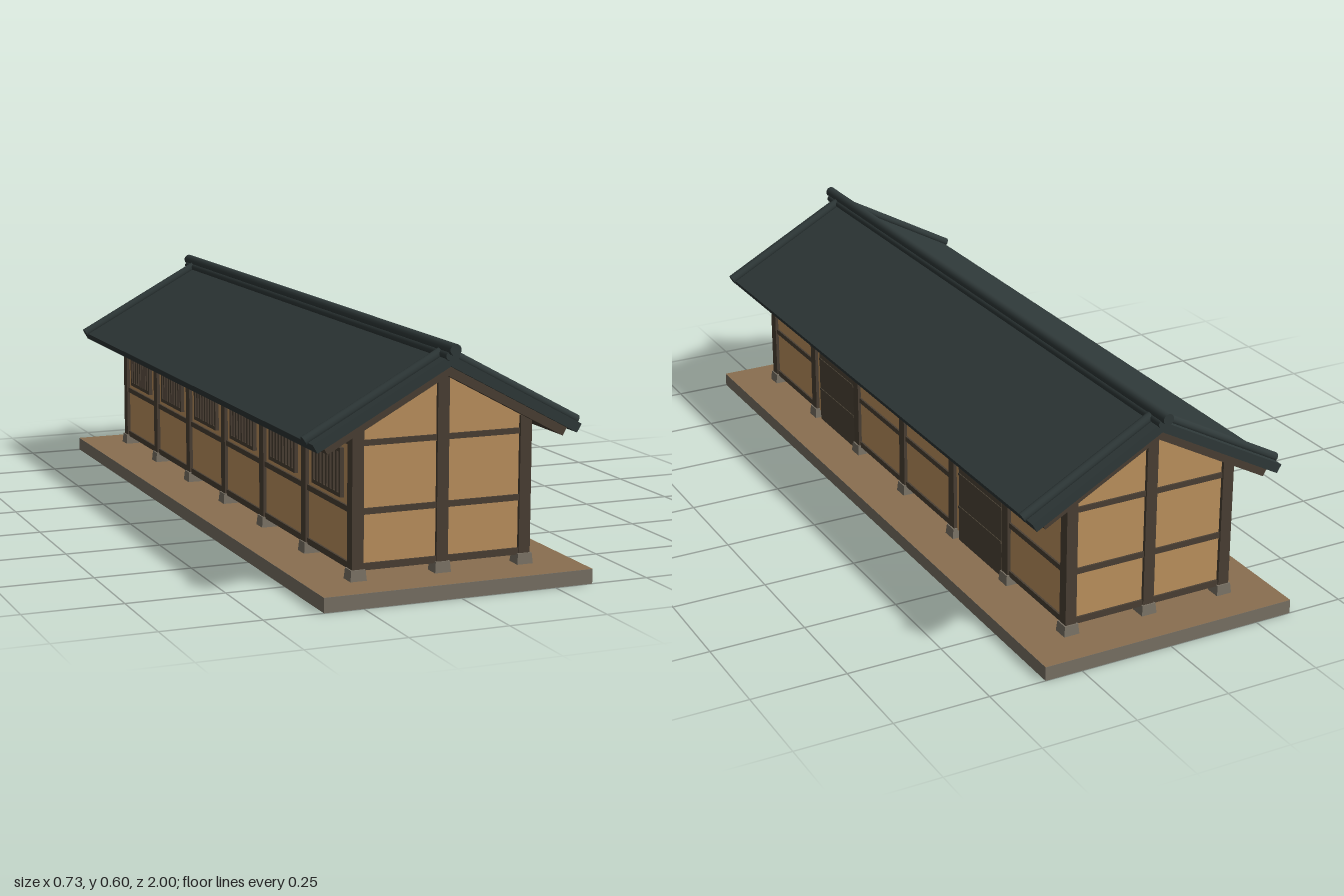
import * as THREE from 'three';

const mat = (name, color, extra = {}) => {
  const m = new THREE.MeshStandardMaterial({ color, ...extra });
  m.name = name;
  return m;
};

export function createModel() {
  const root = new THREE.Group();
  root.name = 'timberHouse';
  const stone = mat('stone', 0x7a7265);
  const earth = mat('earth', 0x8a6f50, { side: THREE.DoubleSide });
  const wood = mat('darkWood', 0x4b4034);
  const doorWood = mat('doorWood', 0x4e4537);
  const plaster = mat('clayPlaster', 0xbf935f);
  const tile = mat('roofTile', 0x2f3939);

  const add = (name, geo, material, x = 0, y = 0, z = 0, parent = root) => {
    const m = new THREE.Mesh(geo, material);
    m.name = name;
    m.position.set(x, y, z);
    parent.add(m);
    return m;
  };
  // Box given by its centre in x and z and its bottom and top in y
  const block = (name, material, x, z, y0, y1, w, d) =>
    add(name, new THREE.BoxGeometry(w, y1 - y0, d), material, x, (y0 + y1) / 2, z);
  const outline = (pts) => new THREE.Shape(pts.map(([x, y]) => new THREE.Vector2(x, y)));
  const rect = (w, d) => outline([[-w, -d], [w, -d], [w, d], [-w, d]]);

  const GROUND = 0.037, WX = 0.22, WZ = 0.878, BAY = WZ / 3, SLOPE = 0.54;

  // Platform: hollow stone kerb, earth floor and sunken footing strips
  const kerbShape = rect(0.35, 1);
  kerbShape.holes.push(rect(0.345, 0.995));
  const kerb = new THREE.ExtrudeGeometry(kerbShape, { depth: GROUND - 0.0005, bevelEnabled: false });
  add('stoneKerb', kerb.rotateX(-Math.PI / 2), stone);
  add('earthFloor', new THREE.PlaneGeometry(0.7, 2).rotateX(-Math.PI / 2), earth, 0, GROUND, 0);
  for (const s of [-1, 1]) {
    block('sideFooting', stone, s * WX, 0, 0.014, GROUND - 0.001, 0.014, 2 * WZ);
    block('gableFooting', stone, 0, s * WZ, 0.014, GROUND - 0.001, 2 * WX, 0.014);
  }

  // Posts on tapered stones
  const stoneGeo = new THREE.CylinderGeometry(0.0185 * Math.SQRT2, 0.0235 * Math.SQRT2, 0.053, 4, 1)
    .rotateY(Math.PI / 4).toNonIndexed();
  stoneGeo.computeVertexNormals();
  const post = (x, z, top) => {
    block('post', wood, x, z, 0.06, top, 0.03, 0.03);
    add('postStone', stoneGeo, stone, x, 0.0375, z);
  };
  for (const s of [-1, 1]) {
    for (let i = -3; i <= 3; i++) post(s * WX, i * BAY, 0.405);
    post(0, s * WZ, 0.525);
  }

  // Gable walls with three rails
  const gable = new THREE.ExtrudeGeometry(
    outline([[-WX, 0.065], [WX, 0.065], [WX, 0.405], [0, 0.522], [-WX, 0.405]]),
    { depth: 0.012, bevelEnabled: false }).translate(0, 0, -0.006);
  for (const s of [-1, 1]) {
    add('gableWall', gable, plaster, 0, 0, s * WZ);
    for (const [a, b] of [[0.06, 0.077], [0.195, 0.21], [0.36, 0.374]])
      block('gableRail', wood, 0, s * WZ, a, b, 2 * WX, 0.022);
  }

  // Long walls, bay by bay
  for (const s of [-1, 1]) {
    block('wallPlate', wood, s * WX, 0, 0.36, 0.374, 0.022, 2 * WZ);
    for (let i = 0; i < 6; i++) {
      const z = (i - 2.5) * BAY, x = s * WX;
      if (s > 0 && (i === 1 || i === 4)) {
        // Door bay
        block('overDoorWall', plaster, x, z, 0.315, 0.405, 0.012, BAY);
        for (const t of [-1, 1])
          block('doorSideWall', plaster, x, z + t * 0.129, 0.06, 0.32, 0.012, 0.03);
        block('doorLintel', wood, x, z, 0.31, 0.325, 0.024, BAY);
        block('door', doorWood, x, z, GROUND, 0.312, 0.016, 0.232);
        for (const y of [0.13, 0.225])
          block('doorBatten', doorWood, x, z, y, y + 0.007, 0.02, 0.232);
        continue;
      }
      block('sideWall', plaster, x, z, 0.065, 0.405, 0.012, BAY);
      block('sillRail', wood, x, z, 0.06, 0.076, 0.022, BAY);
      block('middleRail', wood, x, z, 0.197, 0.211, 0.022, BAY);
      if (s > 0) continue;
      // Barred window
      const out = x - 0.008;
      block('windowOpening', doorWood, out, z, 0.23, 0.34, 0.005, 0.17);
      for (const y of [0.225, 0.335]) block('windowFrame', wood, out, z, y, y + 0.01, 0.016, 0.18);
      for (let k = -4; k <= 4; k++)
        block('windowBar', wood, out - 0.003, z + k * 0.0212, 0.23, 0.34, 0.01, 0.009);
    }
  }

  // Pitched layer with ends cut square to the slope
  const pitched = (name, material, top, bottom, xTop, xBottom, halfLength) => {
    const right = [[0, bottom], [xBottom, bottom - SLOPE * xBottom], [xTop, top - SLOPE * xTop], [0, top]];
    const left = right.slice(1, 3).reverse().map(([x, y]) => [-x, y]);
    const geo = new THREE.ExtrudeGeometry(outline([...right, ...left]),
      { depth: 2 * halfLength, bevelEnabled: false });
    add(name, geo, material, 0, 0, -halfLength);
  };
  pitched('roofBoards', wood, 0.5425, 0.518, 0.318, 0.307, 0.915);
  pitched('tiledRoof', tile, 0.57, 0.5425, 0.35, 0.338, 0.93);

  // Verge tubes down both slopes
  const vergeLength = Math.hypot(0.357, 0.357 * SLOPE);
  const vergeGeo = new THREE.CylinderGeometry(0.0125, 0.0125, vergeLength, 12);
  for (const z of [-0.89, 0.89]) for (const s of [-1, 1]) {
    const verge = add('vergeTube', vergeGeo, tile, s * 0.1785, 0.576 - 0.1785 * SLOPE, z);
    verge.quaternion.setFromUnitVectors(new THREE.Vector3(0, 1, 0),
      new THREE.Vector3(s, -SLOPE, 0).normalize());
  }

  // Ridge: round cap over a flatter roll
  add('ridgeCap', new THREE.CylinderGeometry(0.0145, 0.0145, 1.91, 14).rotateX(Math.PI / 2), tile, 0, 0.585, 0);
  add('ridgeRoll', new THREE.CylinderGeometry(0.018, 0.018, 1.88, 14).rotateX(Math.PI / 2).scale(1, 0.75, 1),
    tile, 0, 0.569, 0);
  return root;
}
